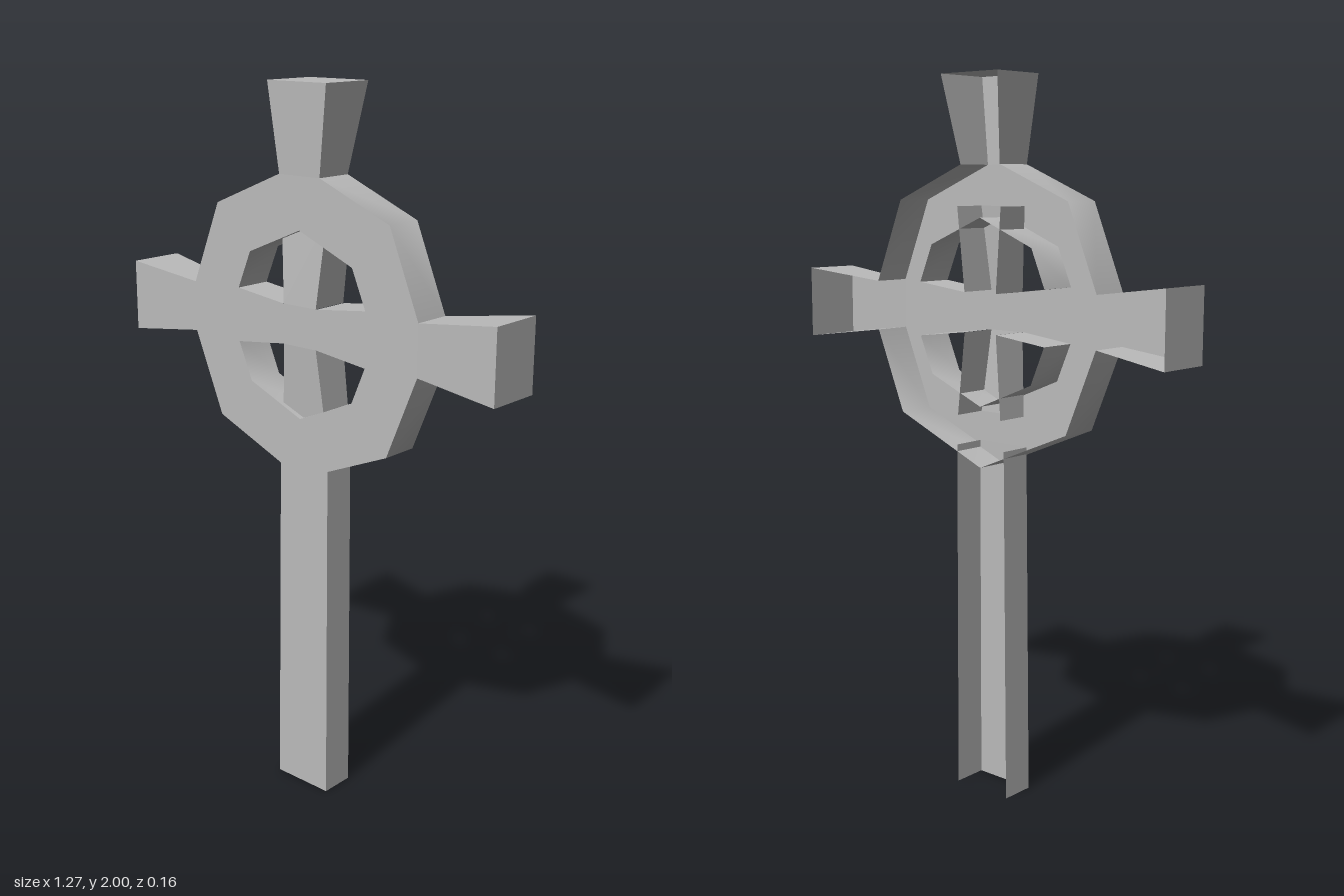
import * as THREE from 'three';

const CY = 1.37;                 // height of the ring centre
const FRONT = 0.07, BACK = -0.04; // depth of the ring shell
const stone = new THREE.MeshStandardMaterial({ color: 0xbababa, side: THREE.DoubleSide });
stone.name = 'greyStone';

function mesh(name, geometry) {
  geometry.computeVertexNormals();
  const m = new THREE.Mesh(geometry, stone);
  m.name = name;
  return m;
}

// Ribbon running from front to back along a polyline, smooth across its bends
function wall(name, points) {
  const pos = [], index = [];
  points.forEach(([x, y], i) => {
    pos.push(x, y, FRONT, x, y, BACK);
    if (i) { const a = 2 * i - 2; index.push(a, a + 1, a + 2, a + 2, a + 1, a + 3); }
  });
  const g = new THREE.BufferGeometry();
  g.setAttribute('position', new THREE.Float32BufferAttribute(pos, 3));
  g.setIndex(index);
  return mesh(name, g);
}

// Open-backed channel along +y: two stations of [y, halfWidth, zFront, zBack], optional end cap
function channel(name, from, to, capped) {
  const section = ([y, w, f, b]) => [[-w, y, b], [-w, y, f], [w, y, f], [w, y, b]];
  const a = section(from), b = section(to), pos = [];
  const quad = (p, q, r, s) => pos.push(...p, ...q, ...r, ...p, ...r, ...s);
  for (let i = 0; i < 3; i++) quad(a[i], a[i + 1], b[i + 1], b[i]);
  if (capped) quad(b[0], b[1], b[2], b[3]);
  const g = new THREE.BufferGeometry();
  g.setAttribute('position', new THREE.Float32BufferAttribute(pos, 3));
  return mesh(name, g);
}

export function createModel() {
  const root = new THREE.Group();
  root.name = 'ringedCross';
  const head = new THREE.Group();
  head.name = 'crossHead';
  head.position.y = CY;
  root.add(head);

  // Front plate: octagon trimmed at the arms, with an opening above and below the crossbar
  const v = (pts) => pts.map(([x, y]) => new THREE.Vector2(x, y));
  const outline = [
    [0, -0.425], [0.3, -0.3], [0.395, -0.07], [0.395, 0.07], [0.3, 0.3], [0.07, 0.395],
    [-0.07, 0.395], [-0.3, 0.3], [-0.395, 0.07], [-0.395, -0.07], [-0.3, -0.3],
  ];
  const arc = [[0.225, 0.075], [0.18, 0.18], [0, 0.255], [-0.18, 0.18], [-0.225, 0.075]];
  const bar = [[-0.06, 0.055], [0.06, 0.055]];
  const plate = new THREE.Shape(v(outline));
  for (const s of [1, -1]) {
    const flip = (pts) => pts.map(([x, y]) => [x, y * s]);
    plate.holes.push(new THREE.Path(v(flip([...arc, ...bar]))));
    // Inner rim and the crossbar edges
    head.add(wall('innerRim', flip(arc)));
    for (const t of [1, -1]) {
      head.add(wall('crossbarEdge', [[0.06 * t, 0.055 * s], [0.225 * t, 0.075 * s]]));
    }
    // Upright bar inside the ring, leaning back a little behind the ring
    const upright = channel('innerUpright', [0.055, 0.057, FRONT, BACK], [0.285, 0.078, 0.052, BACK - 0.005]);
    if (s < 0) upright.rotation.z = Math.PI;
    head.add(upright);
  }
  const face = mesh('ringFace', new THREE.ShapeGeometry(plate));
  face.position.z = FRONT;
  head.add(face);

  // Outer rim, broken where the arms open into the ring
  for (const t of [1, -1]) {
    head.add(wall('outerRimTop', [[0.395 * t, 0.07], [0.3 * t, 0.3], [0.07 * t, 0.395]]));
  }
  head.add(wall('outerRimBottom',
    [[0.395, -0.07], [0.3, -0.3], [0, -0.425], [-0.3, -0.3], [-0.395, -0.07]]));

  // Flared arms: top, left and right
  [['topArm', 0], ['leftArm', -1], ['rightArm', 1]].forEach(([name, turn]) => {
    const arm = channel(name, [0.395, 0.07, FRONT, BACK], [turn ? 0.635 : 0.63, 0.1, 0.08, -0.083], true);
    arm.rotation.z = turn * Math.PI / 2;
    head.add(arm);
  });

  // Post, open at the back and underneath
  root.add(channel('post', [0, 0.092, 0.065, -0.034], [1.0, 0.086, 0.055, BACK]));
  return root;
}
